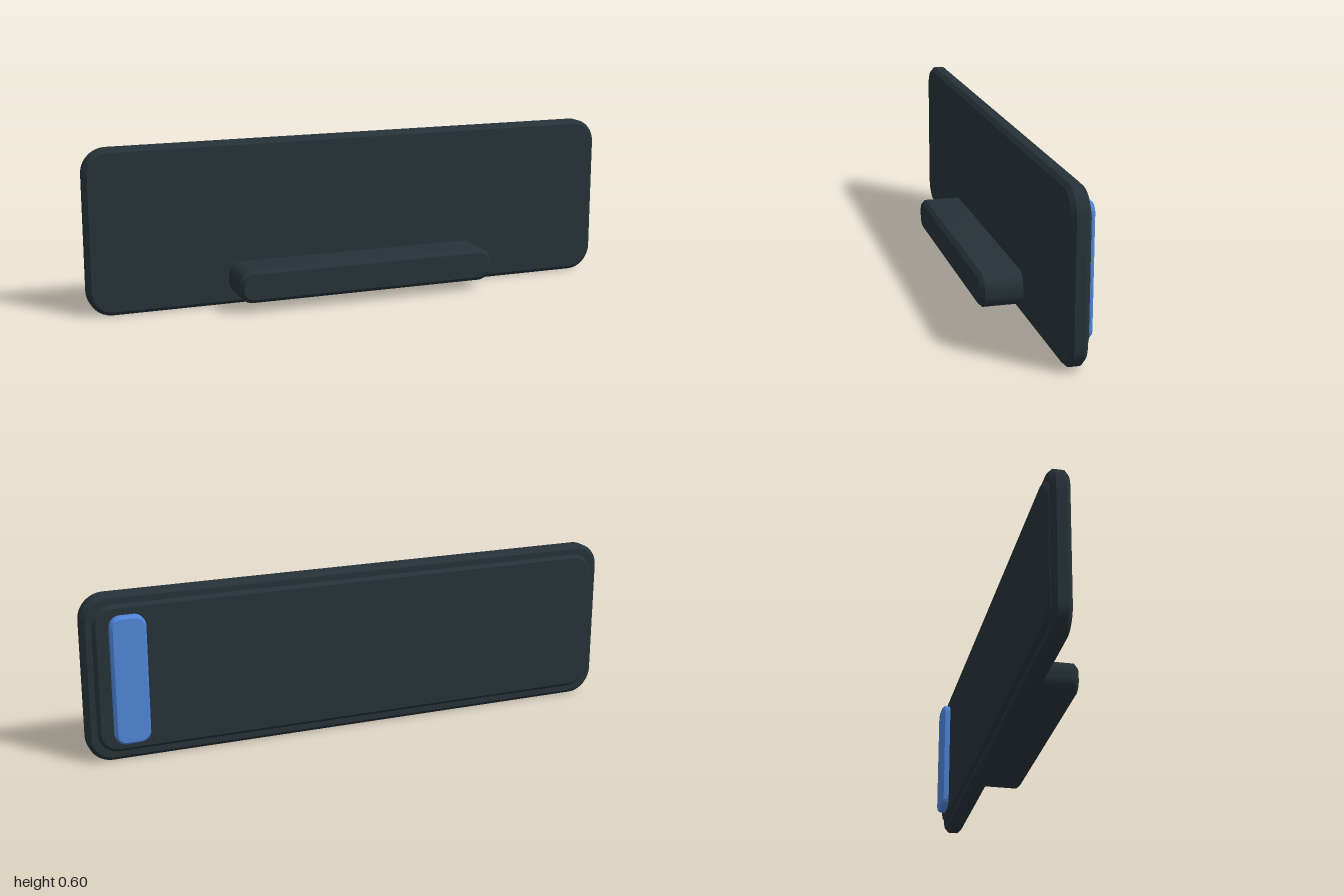
import * as THREE from 'three';
import { toCreasedNormals } from 'three/addons/utils/BufferGeometryUtils.js';

const dark = new THREE.MeshStandardMaterial({ color: 0x263238 });
dark.name = 'dark slate';
const blue = new THREE.MeshStandardMaterial({ color: 0x4f86d9 });
blue.name = 'accent blue';

// Rectangle outline with rounded corners, centred on the origin
function roundedRect(w, h, r) {
  const s = new THREE.Shape();
  const x = w / 2 - r, y = h / 2 - r;
  s.absarc(x, y, r, 0, Math.PI / 2);
  s.absarc(-x, y, r, Math.PI / 2, Math.PI);
  s.absarc(-x, -y, r, Math.PI, Math.PI * 1.5);
  s.absarc(x, -y, r, Math.PI * 1.5, Math.PI * 2);
  s.closePath();
  return s;
}

// Chamfered slab filling the given x, y and z ranges
function slab(name, material, [x0, x1], [y0, y1], [z0, z1], radius, bevel) {
  const shape = roundedRect(x1 - x0 - 2 * bevel, y1 - y0 - 2 * bevel, radius - bevel);
  const geometry = new THREE.ExtrudeGeometry(shape, {
    depth: z1 - z0 - 2 * bevel,
    bevelThickness: bevel,
    bevelSize: bevel,
    bevelSegments: 1,
    curveSegments: 8,
  });
  geometry.translate((x0 + x1) / 2, (y0 + y1) / 2, z0 + bevel);
  const mesh = new THREE.Mesh(toCreasedNormals(geometry, 0.5), material);
  mesh.name = name;
  return mesh;
}

export function createModel() {
  const model = new THREE.Group();
  model.name = 'panelWithLedge';
  model.add(
    // Main upright plate
    slab('mainPanel', dark, [-1, 1], [0, 0.598], [-0.085, -0.022], 0.09, 0.014),
    // Raised plate on the back
    slab('backPlate', dark, [-0.965, 0.965], [0.035, 0.563], [-0.099, -0.06], 0.075, 0.012),
    // Coloured strip at one end of the back
    slab('accentStrip', blue, [0.785, 0.91], [0.07, 0.527], [-0.128, -0.085], 0.038, 0.008),
    // Ledge sticking out at the front
    slab('frontLedge', dark, [-0.49, 0.49], [0.037, 0.158], [-0.05, 0.128], 0.05, 0.014),
  );
  return model;
}
